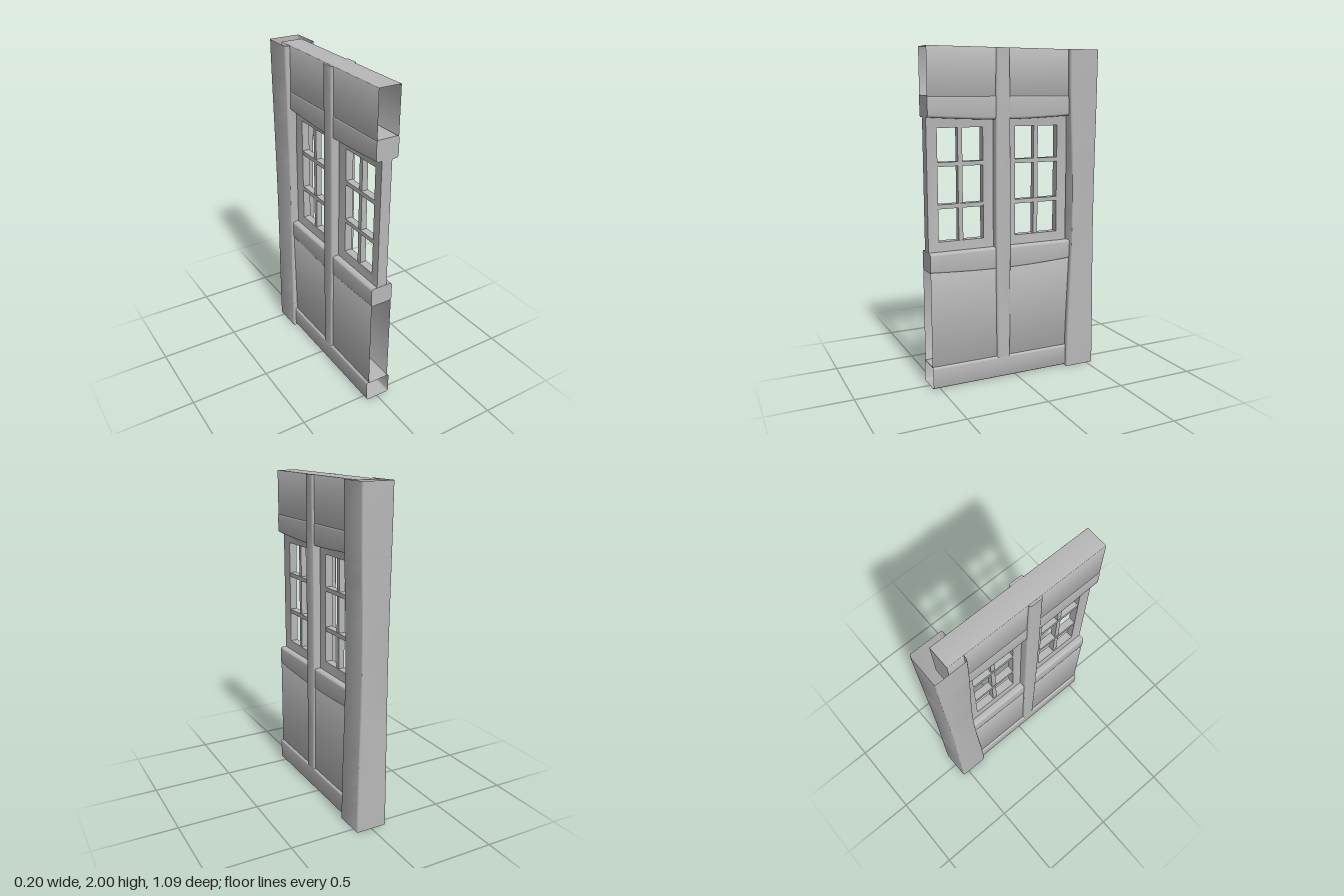
import * as THREE from 'three';
import { toCreasedNormals } from 'three/addons/utils/BufferGeometryUtils.js';

// Skin a list of equal-length point rings; optionally close the ends.
function loft(rings, capStart = false, capEnd = false) {
  const n = rings[0].length;
  const pos = rings.flat(2);
  const index = [];
  for (let i = 0; i < rings.length - 1; i++) {
    for (let j = 0; j < n; j++) {
      const a = i * n + j, b = i * n + (j + 1) % n;
      index.push(a, b, a + n, b, b + n, a + n);
    }
  }
  const last = (rings.length - 1) * n;
  for (let j = 1; j < n - 1; j++) {
    if (capStart) index.push(0, j + 1, j);
    if (capEnd) index.push(last, last + j, last + j + 1);
  }
  const g = new THREE.BufferGeometry();
  g.setAttribute('position', new THREE.Float32BufferAttribute(pos, 3));
  g.setIndex(index);
  return toCreasedNormals(g, 0.6);
}

// Counter-clockwise rounded rectangle as [u, v] pairs.
function roundRect(u0, u1, v0, v1, r, steps = 4) {
  const corners = [[u1 - r, v1 - r], [u0 + r, v1 - r], [u0 + r, v0 + r], [u1 - r, v0 + r]];
  return corners.flatMap(([u, v], k) =>
    Array.from({ length: steps + 1 }, (_, i) => {
      const t = (k + i / steps) * Math.PI / 2;
      return [u + r * Math.cos(t), v + r * Math.sin(t)];
    }));
}

export function createModel() {
  const model = new THREE.Group();
  model.name = 'windowWall';
  const grey = new THREE.MeshStandardMaterial({ color: 0xb8b8b8, side: THREE.DoubleSide });
  grey.name = 'plainGrey';

  const add = (name, geometry, parent = model) => {
    const mesh = new THREE.Mesh(geometry, grey);
    mesh.name = name;
    parent.add(mesh);
    return mesh;
  };
  const box = (name, parent, w, h, d, x, y, z) =>
    add(name, new THREE.BoxGeometry(w, h, d), parent).position.set(x, y, z);

  // Section in x and y, placed at a given z
  const sectionAt = (z, halfW, y0, y1, r) =>
    roundRect(-halfW, halfW, y0, y1, r).map(([x, y]) => [x, y, z]);

  // Hollow wall panels and base board, open at the front end
  const hollow = (name, halfW, y0, y1, zBack, r) =>
    add(name, loft([sectionAt(zBack, halfW, y0, y1, r), sectionAt(0.545, halfW, y0, y1, r)], true));
  hollow('upperPanel', 0.067, 1.7, 2, -0.45, 0.002);
  hollow('lowerPanel', 0.067, 0.136, 0.75, -0.45, 0.002);
  hollow('baseBoard', 0.08, 0.005, 0.14, -0.39, 0.014);

  // Rails above and below the windows, sagging slightly in the middle
  const rail = (name, y0, y1, sag) => {
    const rings = [];
    for (let i = 0; i <= 10; i++) {
      const t = i / 10;
      const dip = sag * Math.sin(Math.PI * t);
      rings.push(sectionAt(-0.4 + 0.945 * t, 0.07, y0 - dip, y1, 0.015));
    }
    add(name, loft(rings, true, true));
  };
  rail('upperRail', 1.608, 1.73, 0.018);
  rail('lowerRail', 0.71, 0.828, 0.018);

  // Centre post, slightly swollen at mid height
  const centreRings = [];
  for (let i = 0; i <= 12; i++) {
    const t = i / 12;
    const swell = 0.006 * Math.sin(Math.PI * t);
    centreRings.push(roundRect(0.042 - swell, 0.126 + swell, -0.08, 0.08, 0.012)
      .map(([z, x]) => [x, 0.13 + 1.869 * t, z]));
  }
  add('centrePost', loft(centreRings, true, true));

  // Rear post: open tube that narrows and twists toward mid height
  const postRings = [];
  const outline = roundRect(-1, 1, -1, 1, 0.12);
  for (let i = 0; i <= 20; i++) {
    const t = i / 20;
    const w = Math.sin(Math.PI * t) ** 2;
    postRings.push(outline.map(([u, v]) => [
      THREE.MathUtils.lerp(0.098 * u, 0.089 * u + 0.0075 * v, w),
      2 * t,
      THREE.MathUtils.lerp(-0.448 + 0.097 * v, -0.4575 - 0.005 * u + 0.0825 * v, w),
    ]));
  }
  add('rearPost', loft(postRings));

  // Windows: mitred frame with one upright and two cross bars
  const makeWindow = (name, zOuter, zInner) => {
    const group = new THREE.Group();
    group.name = name;
    model.add(group);
    const ring = (x, [z0, z1], y0, y1) => [[x, y0, z0], [x, y0, z1], [x, y1, z1], [x, y1, z0]];
    const outer = x => ring(x, zOuter, 0.825, 1.61);
    const inner = x => ring(x, zInner, 0.885, 1.547);
    add('frame', loft([outer(0.032), outer(-0.032), inner(-0.024), inner(0.024), outer(0.032)]), group);
    const mid = (zInner[0] + zInner[1]) / 2;
    const width = zInner[1] - zInner[0];
    box('uprightBar', group, 0.036, 0.67, 0.028, 0, 1.216, mid);
    for (const y of [1.092, 1.338]) box('crossBar', group, 0.044, 0.026, width + 0.01, 0, y, mid);
  };
  makeWindow('frontWindow', [0.125, 0.543], [0.193, 0.476]);
  makeWindow('rearWindow', [-0.365, 0.043], [-0.303, -0.016]);

  return model;
}
